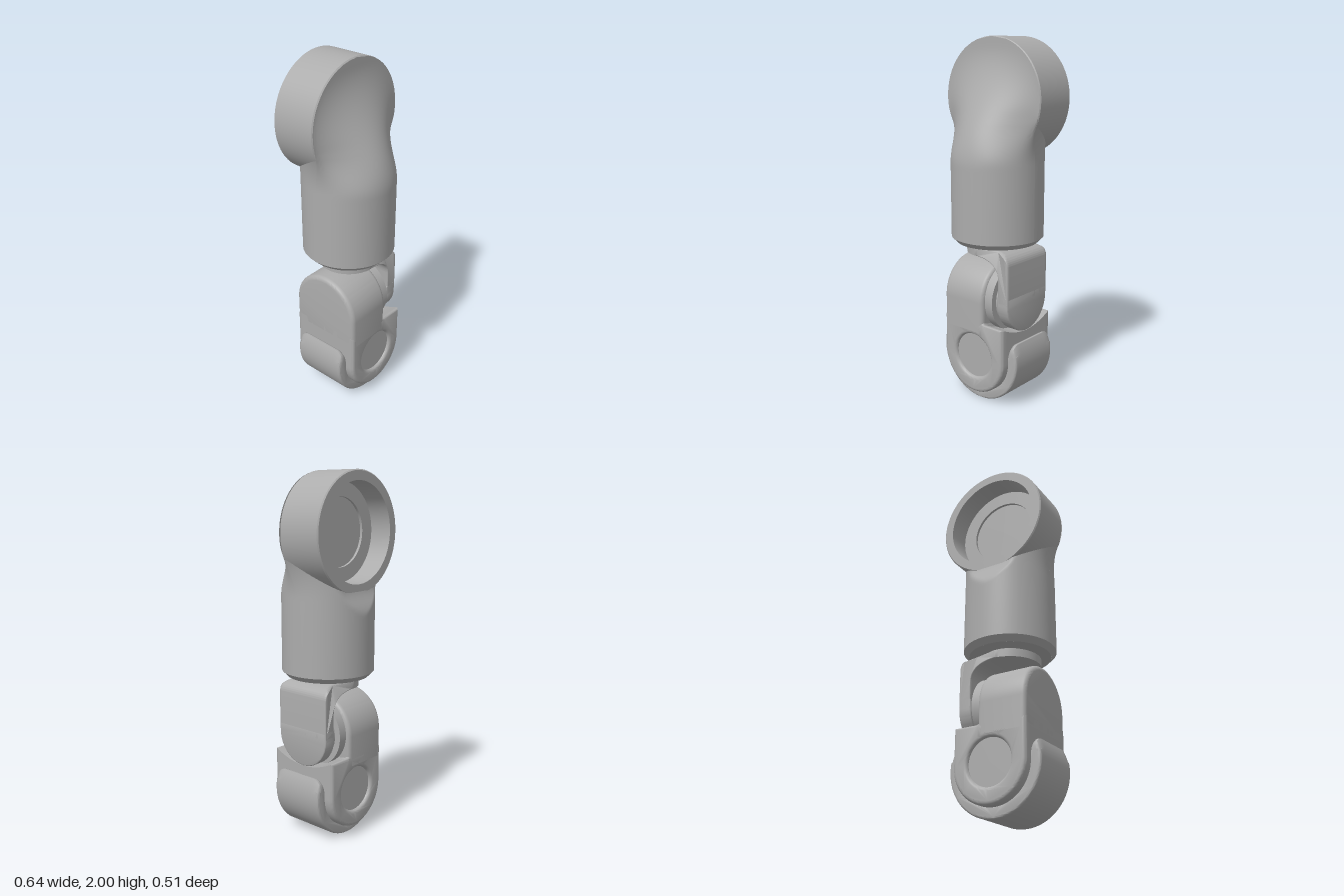
import * as THREE from 'three';
import { toCreasedNormals } from 'three/addons/utils/BufferGeometryUtils.js';

const grey = new THREE.MeshStandardMaterial({ color: 0xacacac, side: THREE.DoubleSide });
grey.name = 'grey';

const smooth = (y, a, b) => THREE.MathUtils.smoothstep(y, a, b);

// Extrudes a shape from z = a to z = b with rounded rims kept inside its outline
function extrude(shape, a, b, bevel, steps = 1) {
  const geo = new THREE.ExtrudeGeometry(shape, {
    depth: b - a - 2 * bevel, steps, curveSegments: 32,
    bevelThickness: bevel, bevelSize: bevel, bevelOffset: -bevel, bevelSegments: 4,
  });
  return geo.translate(0, 0, a + bevel);
}

// Moves every vertex by a rule
function reshape(geo, rule) {
  const p = geo.attributes.position;
  const v = new THREE.Vector3();
  for (let i = 0; i < p.count; i++) {
    rule(v.fromBufferAttribute(p, i));
    p.setXYZ(i, v.x, v.y, v.z);
  }
  return geo;
}

// Grid surface from a rule point(i, j)
function surface(nu, nv, point) {
  const pos = [], idx = [];
  for (let j = 0; j <= nv; j++) for (let i = 0; i <= nu; i++) pos.push(...point(i, j));
  for (let j = 0; j < nv; j++) for (let i = 0; i < nu; i++) {
    const a = j * (nu + 1) + i, b = a + nu + 1;
    idx.push(a, a + 1, b + 1, a, b + 1, b);
  }
  const geo = new THREE.BufferGeometry();
  geo.setAttribute('position', new THREE.Float32BufferAttribute(pos, 3));
  geo.setIndex(idx);
  return geo;
}

// Half width of the upper arm at a height: chamfer, tube, flared neck, round head
function armWidth(y) {
  if (y < 0.93) return 0.225 + (y - 0.9);
  if (y < 1.35) return 0.255;
  if (y < 1.58) return 0.255 + 0.049 * ((y - 1.35) / 0.23) ** 2;
  return Math.sqrt(Math.max(0, 0.318 ** 2 - (y - 1.68) ** 2));
}

const rowHeight = (j, n, top) => (j === 0 ? 0.9 : 0.93 + (top - 0.93) * (j - 1) / (n - 1));

// Front half of the arm, sweeping up into the face of the head
function armFront() {
  const nu = 40, nv = 70;
  return surface(nu, nv, (i, j) => {
    const a = (i / nu - 0.5) * Math.PI;
    const y = rowHeight(j, nv, 1.998), w = armWidth(y);
    const depth = y < 0.93 ? w : 0.255 - 0.205 * smooth(y, 1.33, 1.95);
    const t = smooth(y, 1.35, 1.62), c = Math.cos(a);
    const bell = 0.05 + (depth - 0.05) * c ** 3;
    return [w * Math.sin(a), y, depth * c * (1 - t) + bell * t];
  });
}

// Rear half of the arm, ending under the head with a flattened back
function armBack() {
  const nu = 40, nv = 36;
  return surface(nu, nv, (i, j) => {
    const a = (i / nu + 0.5) * Math.PI, s = Math.sin(a);
    const top = 1.70 - Math.sqrt(0.32 ** 2 - (0.3 * s) ** 2);
    const y = rowHeight(j, nv, top), w = armWidth(y);
    const edge = 0.05 * smooth(y, 1.35, 1.62);
    const depth = Math.min(w, 0.255) + edge;
    const back = 0.255 - 0.045 * smooth(y, 1.25, 1.4);
    return [w * s, y, Math.max(edge + depth * Math.cos(a), -back)];
  });
}

// Round head with a stepped socket open to the rear
function headRing() {
  const profile = [[0, -0.07], [0.185, -0.07], [0.185, -0.085], [0.265, -0.085], [0.265, -0.213],
    [0.314, -0.213], [0.32, -0.207], [0.32, 0.04], [0.314, 0.046], [0, 0.046]];
  return new THREE.LatheGeometry(profile.map(([r, z]) => new THREE.Vector2(r, z)), 96)
    .rotateX(Math.PI / 2).translate(0, 1.68, 0);
}

// Top plate that bends down on the left; its right end is round in plan
function bracketBend() {
  const s = new THREE.Shape();
  s.moveTo(-0.17, 0.84);
  s.lineTo(0, 0.84);
  s.quadraticCurveTo(0.145, 0.83, 0.145, 0.73);
  s.lineTo(0.145, 0.6);
  s.lineTo(0.213, 0.6);
  s.lineTo(0.213, 0.81);
  s.quadraticCurveTo(0.213, 0.875, 0.12, 0.885);
  s.lineTo(0, 0.885);
  s.lineTo(-0.17, 0.885);
  return reshape(extrude(s, -0.17, 0.17, 0.005, 28), (v) => {
    if (v.x < 0) v.x *= Math.sqrt(Math.max(0, 1 - (v.z / 0.17) ** 2));
    else v.z *= 1 - 0.18 * smooth(v.y, 0.85, 0.885) * smooth(v.x, 0, 0.1);
  });
}

// Plate with straight sides and one round end, standing across the x axis
function roundedPlate(r, cy, endY, dir, x0, x1, bevel) {
  const s = new THREE.Shape();
  if (dir > 0) {
    s.moveTo(-r, endY);
    s.lineTo(r, endY);
    s.absarc(0, cy, r, 0, Math.PI, false);
  } else {
    s.moveTo(r, endY);
    s.lineTo(-r, endY);
    s.absarc(0, cy, r, Math.PI, 2 * Math.PI, false);
  }
  return extrude(s, x0, x1, bevel).rotateY(Math.PI / 2);
}

// Lower link: round bottom, pivot bore, and a hollowed shoulder below the bracket
function lowerLink() {
  const s = new THREE.Shape();
  s.moveTo(0.21, 0.48);
  s.lineTo(0.075, 0.48);
  s.lineTo(0.065, 0.48);
  s.lineTo(-0.21, 0.48);
  s.lineTo(-0.21, 0.27);
  s.absarc(0, 0.27, 0.21, Math.PI, 2 * Math.PI, false);
  s.lineTo(0.21, 0.48);
  const bore = new THREE.Path();
  bore.absarc(0, 0.275, 0.125, 0, 2 * Math.PI, true);
  s.holes.push(bore);
  return reshape(extrude(s, -0.213, 0.213, 0.02, 16), (v) => {
    if (v.y > 0.44 && v.x > 0.07) v.y -= 0.06 * (1 - (v.z / 0.213) ** 2);
  });
}

// Curved shoe wrapped under the link, its tips rounded at the corners
function cradle() {
  const s = new THREE.Shape();
  const a0 = Math.PI * 0.865, a1 = Math.PI * 2.135;
  s.absarc(0, 0.268, 0.265, a0, a1, false);
  s.quadraticCurveTo(0.222, 0.382, 0.212, 0.355);
  s.lineTo(0.2, 0.3);
  s.absarc(0, 0.268, 0.2, 2 * Math.PI, Math.PI, true);
  s.lineTo(-0.2, 0.3);
  s.lineTo(-0.212, 0.355);
  s.quadraticCurveTo(-0.222, 0.382, 0.265 * Math.cos(a0), 0.268 + 0.265 * Math.sin(a0));
  const r = 0.05;
  return reshape(extrude(s, -0.16, 0.16, 0.012, 24), (v) => {
    const d = Math.max(0, Math.abs(v.z) - (0.16 - r));
    if (v.y > 0.32) v.y -= r - Math.sqrt(Math.max(0, r * r - d * d));
  });
}

export function createModel() {
  const model = new THREE.Group();
  model.name = 'jointedArm';
  const add = (name, geo) => {
    const mesh = new THREE.Mesh(toCreasedNormals(geo, 0.6), grey);
    mesh.name = name;
    model.add(mesh);
  };
  // Cylinder between two points of one axis
  const disc = (r, a, b, axis) => {
    const geo = new THREE.CylinderGeometry(r, r, b - a, 64).translate(0, (a + b) / 2, 0);
    if (axis === 'x') geo.rotateZ(-Math.PI / 2);
    if (axis === 'z') geo.rotateX(Math.PI / 2);
    return geo;
  };

  // Upper arm and head
  add('upperArmFront', armFront());
  add('upperArmBack', armBack());
  add('upperArmBase', new THREE.CircleGeometry(0.225, 64).rotateX(Math.PI / 2).translate(0, 0.9, 0));
  add('headSocket', headRing());

  // Wrist bracket
  add('wristNeck', disc(0.14, 0.87, 0.92, 'y'));
  add('bracketBend', bracketBend());
  add('bracketPlate', roundedPlate(0.17, 0.59, 0.64, -1, 0.14, 0.213, 0.008));
  add('hingeDisc', disc(0.19, 0.04, 0.12, 'x').translate(0, 0.595, 0));
  add('hingeSpacer', disc(0.155, 0.1, 0.15, 'x').translate(0, 0.595, 0));

  // Lower link with its pivot and shoe
  add('linkTop', roundedPlate(0.213, 0.589, 0.42, 1, -0.21, 0.07, 0.025));
  add('linkBody', lowerLink());
  add('pivotPin', disc(0.127, -0.195, 0.195, 'z').translate(0, 0.275, 0));
  add('cradle', cradle());
  return model;
}
